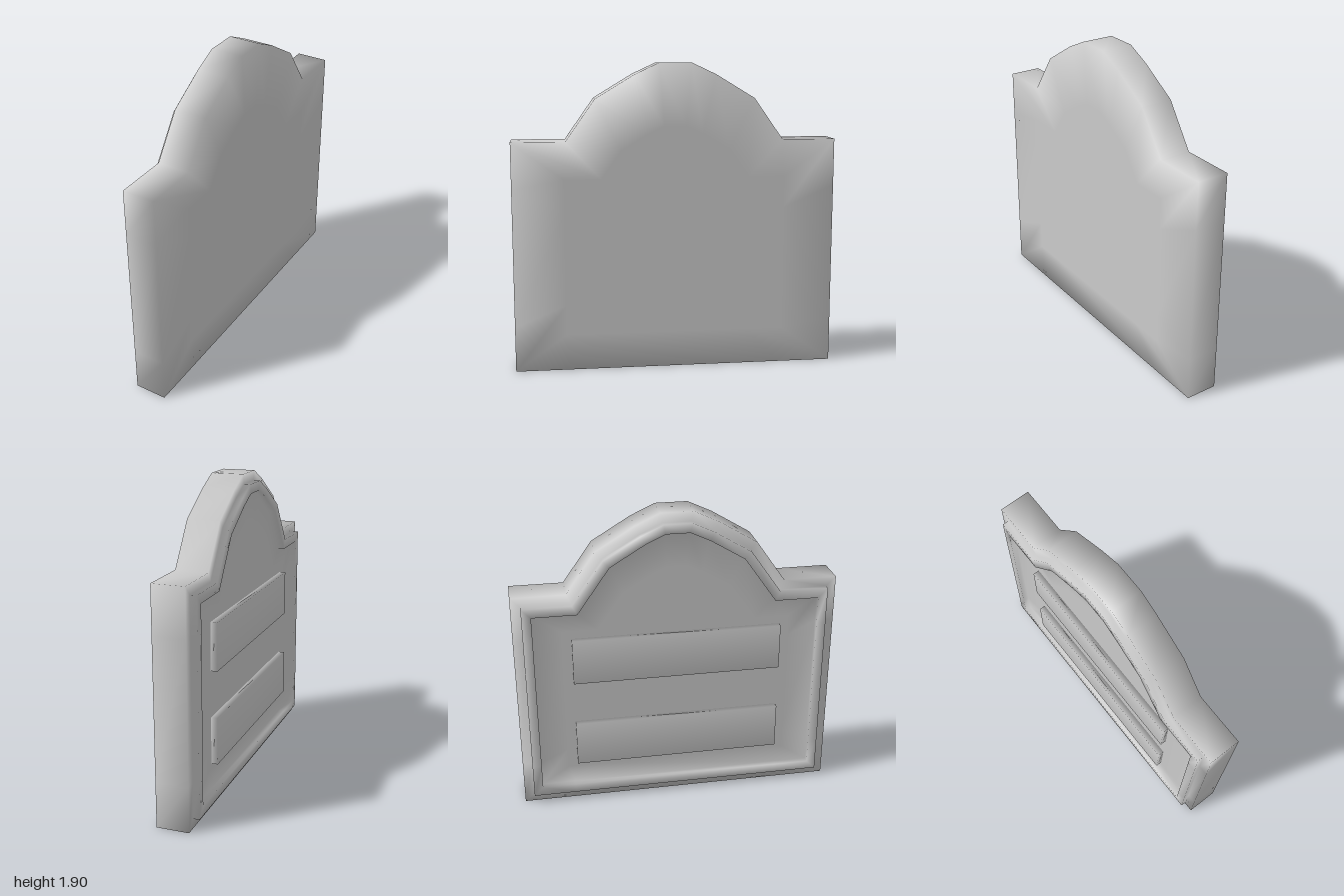
import * as THREE from 'three';
import { mergeVertices } from 'three/addons/utils/BufferGeometryUtils.js';

const material = new THREE.MeshStandardMaterial({ color: 0xcccccc });

// Half of the outline as [z, y], from bottom centre up to the crown; mirrored for the other half
const half = [[0.67, 0], [1, 0], [1, 0.28], [1, 1.14], [1, 1.43], [0.67, 1.43],
  [0.49, 1.685], [0.25, 1.83], [0.1, 1.9]];
const outline = [...half, ...half.map(([z, y]) => [-z, y]).reverse()];

// Outline moved inwards by d with mitred corners
function inset(d) {
  const n = outline.length;
  const inward = (p, q) => new THREE.Vector2(p[1] - q[1], q[0] - p[0]).normalize();
  return outline.map((p, i) => {
    const a = inward(outline[(i + n - 1) % n], p);
    const b = inward(p, outline[(i + 1) % n]);
    const m = a.clone().add(b).multiplyScalar(d / (1 + a.dot(b)));
    return [p[0] + m.x, p[1] + m.y];
  });
}

// Loop shrunk towards the middle of the panel
const shrink = (loop, s) => loop.map(([z, y]) => [z * s, 0.7 + (y - 0.7) * s]);

// Smooth-shaded geometry with shared vertices
function smooth(geometry) {
  geometry.deleteAttribute('normal');
  geometry.deleteAttribute('uv');
  const merged = mergeVertices(geometry, 1e-4);
  merged.computeVertexNormals();
  return merged;
}

// Skin over a series of loops, each [x, loop]
function loft(rings) {
  const n = outline.length, pos = [], index = [];
  rings.forEach(([x, loop]) => loop.forEach(([z, y]) => pos.push(x, y, z)));
  for (let i = 0; i < rings.length - 1; i++) {
    for (let j = 0; j < n; j++) {
      const a = i * n + j, b = i * n + (j + 1) % n;
      index.push(a, b, a + n, b, b + n, a + n);
    }
  }
  const g = new THREE.BufferGeometry();
  g.setAttribute('position', new THREE.Float32BufferAttribute(pos, 3));
  g.setIndex(index);
  return smooth(g);
}

function add(group, name, geometry) {
  const mesh = new THREE.Mesh(geometry, material);
  mesh.name = name;
  group.add(mesh);
  return mesh;
}

export function createModel() {
  const group = new THREE.Group();
  group.name = 'archedPanel';

  // Slab with a raised rim following its outline on the -x side
  const rimOuter = inset(0.06), rimInner = inset(0.118);
  add(group, 'slabWithRim', loft([
    [0.12, shrink(outline, 0)],
    [0.12, shrink(outline, 0.68)],
    [0.12, outline],
    [-0.08, outline],
    [-0.08, rimOuter],
    [-0.12, rimOuter],
    [-0.12, rimInner],
    [-0.08, rimInner],
    [-0.08, shrink(rimInner, 0.8)],
    [-0.08, shrink(rimInner, 0)],
  ]));

  // Two raised bars inside the rim
  [['lowerBar', 0.42], ['upperBar', 0.995]].forEach(([name, y]) => {
    add(group, name, smooth(new THREE.BoxGeometry(0.04, 0.29, 1.3))).position.set(-0.1, y, 0);
  });

  return group;
}
